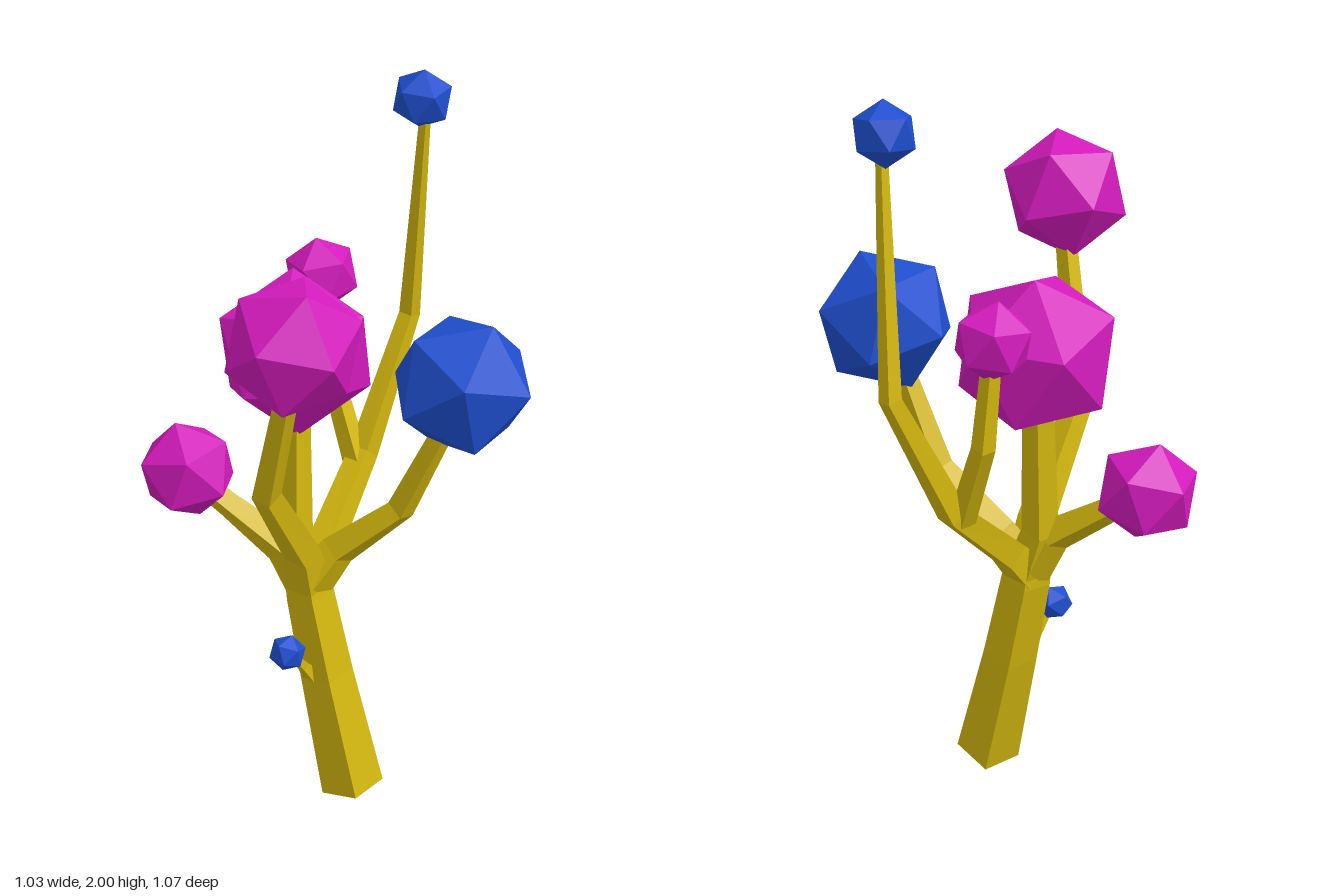
import * as THREE from 'three';

const paint = (color) => new THREE.MeshStandardMaterial({ color, flatShading: true });
const bark = paint(0xd2b60f);
const magenta = paint(0xd41bbd);
const blue = paint(0x1f4fd0);

// Square limb swept along points [x, y, z, halfWidth]
function limb(name, points) {
  const centres = points.map(([x, y, z]) => new THREE.Vector3(x, y, z));
  const last = centres.length - 1;
  const positions = [], index = [];
  centres.forEach((c, i) => {
    const t = new THREE.Vector3();
    if (i > 0) t.add(c.clone().sub(centres[i - 1]).normalize());
    if (i < last) t.add(centres[i + 1].clone().sub(c).normalize());
    t.normalize();
    const u = new THREE.Vector3(1, 0, 0).addScaledVector(t, -t.x).normalize();
    const w = t.clone().cross(u);
    for (const [a, b] of [[1, 1], [-1, 1], [-1, -1], [1, -1]]) {
      const h = points[i][3];
      positions.push(...c.clone().addScaledVector(u, a * h).addScaledVector(w, b * h).toArray());
    }
  });
  for (let r = 0; r < last; r++) {
    for (let i = 0; i < 4; i++) {
      const a = r * 4 + i, b = r * 4 + (i + 1) % 4;
      index.push(a, b, a + 4, b, b + 4, a + 4);
    }
  }
  const e = last * 4;
  index.push(0, 2, 1, 0, 3, 2, e, e + 1, e + 2, e, e + 2, e + 3);
  const geometry = new THREE.BufferGeometry();
  geometry.setAttribute('position', new THREE.Float32BufferAttribute(positions, 3));
  geometry.setIndex(index);
  geometry.computeVertexNormals();
  const mesh = new THREE.Mesh(geometry, bark);
  mesh.name = name;
  return mesh;
}

// Twenty-sided bloom with one corner pointing along its stem
function bloom(name, material, radius, position, pole, spin) {
  const mesh = new THREE.Mesh(new THREE.IcosahedronGeometry(radius, 0), material);
  const corner = new THREE.Vector3(-1, (1 + Math.sqrt(5)) / 2, 0).normalize();
  const axis = new THREE.Vector3(...pole).normalize();
  mesh.quaternion.setFromUnitVectors(corner, axis)
    .premultiply(new THREE.Quaternion().setFromAxisAngle(axis, spin));
  mesh.position.set(...position);
  mesh.name = name;
  return mesh;
}

export function createModel() {
  const tree = new THREE.Group();
  tree.name = 'tree';
  const fork = [-0.06, 0.63, -0.015, 0.045];

  // Trunk and branches
  tree.add(
    limb('trunk', [[0.085, 0.02, -0.033, 0.062], [-0.005, 0.36, -0.028, 0.052],
      [-0.055, 0.6, -0.017, 0.047], [-0.07, 0.72, -0.005, 0.04]]),
    limb('leftmostBranch', [fork, [-0.12, 0.745, 0.02, 0.037], [-0.27, 0.85, 0.075, 0.026],
      [-0.34, 0.9, 0.1, 0.024]]),
    limb('middleBranch', [fork, [-0.105, 0.76, -0.01, 0.036], [-0.118, 1.08, -0.03, 0.03],
      [-0.13, 1.22, -0.05, 0.027]]),
    limb('frontBranch', [fork, [-0.035, 0.76, 0.04, 0.036], [0.018, 1.04, 0.25, 0.028],
      [0.165, 1.42, 0.335, 0.021]]),
    limb('sideBranch', [fork, [0, 0.74, -0.065, 0.036], [0.165, 0.895, -0.13, 0.028],
      [0.28, 1.15, -0.155, 0.022]]),
    limb('backBranch', [fork, [-0.07, 0.71, -0.09, 0.036], [-0.11, 0.91, -0.32, 0.03],
      [-0.1, 1.27, -0.51, 0.021], [-0.02, 1.87, -0.455, 0.011]]),
    limb('backOffshoot', [[-0.11, 0.88, -0.29, 0.026], [-0.235, 1.13, -0.325, 0.022],
      [-0.25, 1.36, -0.31, 0.018]]),
    limb('twig', [[-0.03, 0.37, 0.01, 0.02], [-0.03, 0.41, 0.045, 0.012], [-0.03, 0.47, 0.095, 0.008]]),
  );

  // Blooms
  tree.add(
    bloom('middleBloom', magenta, 0.225, [-0.14, 1.295, -0.06], [-0.2, 0.95, -0.2], 0.3),
    bloom('frontBloom', magenta, 0.178, [0.21, 1.555, 0.37], [0.4, 0.9, 0.2], 0.9),
    bloom('leftmostBloom', magenta, 0.14, [-0.385, 0.935, 0.11], [-0.2, 0.95, 0.1], 0.5),
    bloom('backBloom', magenta, 0.105, [-0.25, 1.415, -0.305], [-0.1, 1, 0.1], 1.1),
    bloom('sideBloom', blue, 0.195, [0.32, 1.29, -0.18], [0.4, 0.9, -0.1], 0.2),
    bloom('topBloom', blue, 0.084, [-0.028, 1.92, -0.452], [0.15, 1, 0.1], 0.7),
    bloom('twigBloom', blue, 0.052, [-0.033, 0.483, 0.11], [0, 0.7, 0.7], 0),
  );
  return tree;
}
